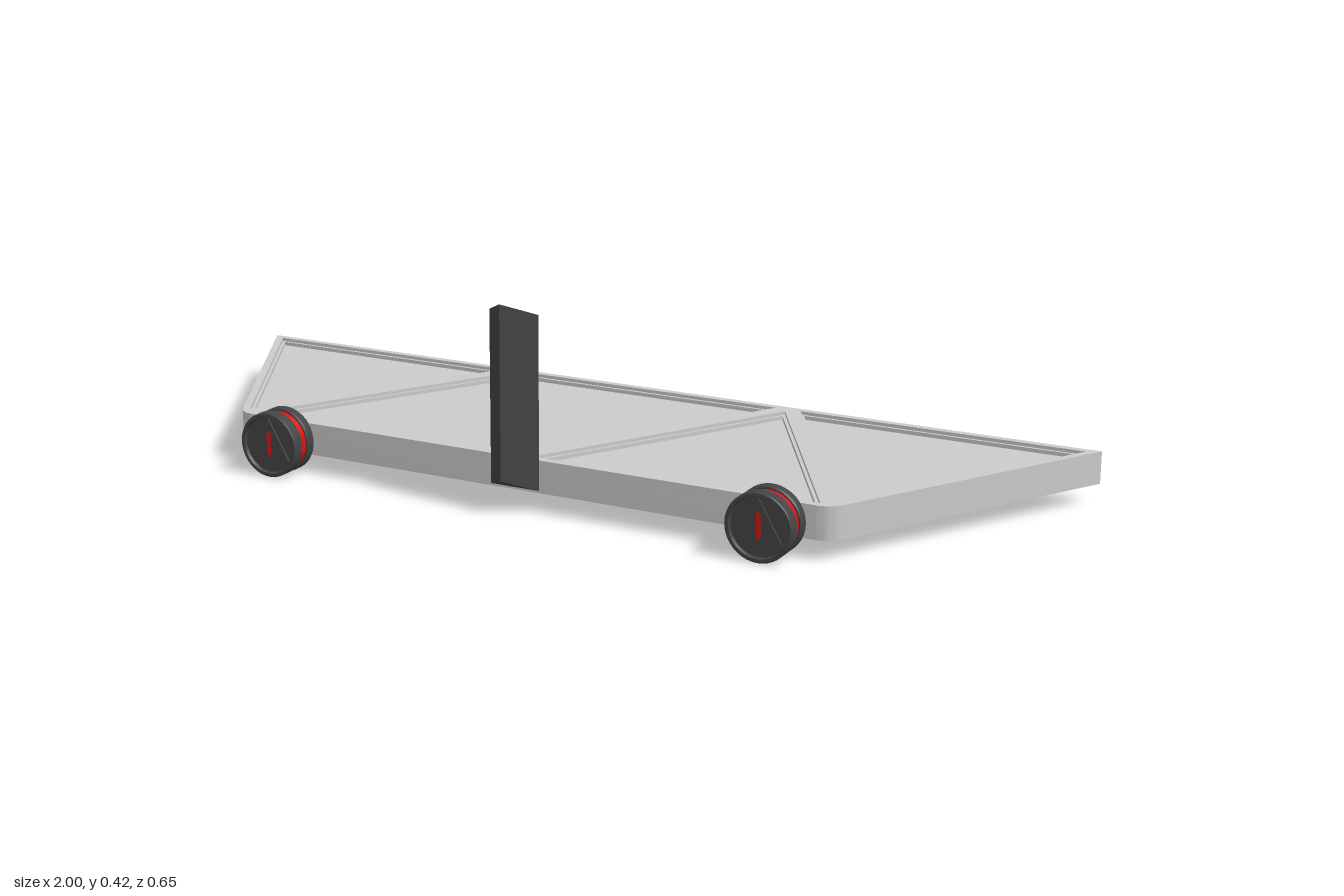
import * as THREE from 'three';
import { toCreasedNormals } from 'three/addons/utils/BufferGeometryUtils.js';

const grey = new THREE.MeshStandardMaterial({ color: 0xcccccc });
const dark = new THREE.MeshStandardMaterial({ color: 0x444444 });
const red = new THREE.MeshStandardMaterial({ color: 0xe01010 });

const BACK = -0.325, FRONT = 0.262, BOTTOM = 0.04, TOP = 0.107;

function add(parent, name, geometry, material) {
  const mesh = new THREE.Mesh(geometry, material);
  mesh.name = name;
  parent.add(mesh);
  return mesh;
}

// Plan outline of the deck: trapezoid with rounded front corners (shape y = -z)
function deckShape() {
  const s = new THREE.Shape();
  s.moveTo(-1, -BACK);
  s.lineTo(-0.683, -FRONT + 0.03);
  s.quadraticCurveTo(-0.666, -FRONT, -0.635, -FRONT);
  s.lineTo(0.635, -FRONT);
  s.quadraticCurveTo(0.666, -FRONT, 0.683, -FRONT + 0.03);
  s.lineTo(1, -BACK);
  s.closePath();
  return s;
}

// Five alternating triangles, each inset from its cell by d
function triangleHoles(d) {
  const holes = [];
  for (let i = 0; i < 5; i++) {
    const cx = (i - 2) / 3, pointsFront = i % 2 === 0;
    const base = pointsFront ? BACK : FRONT, tip = pointsFront ? FRONT : BACK;
    const cz = (2 * base + tip) / 3, k = 1 - d / 0.195;
    const pts = [[-1 / 3, base], [1 / 3, base], [0, tip]].map(
      ([x, z]) => new THREE.Vector2(cx + x * k, -(cz + (z - cz) * k)));
    holes.push(new THREE.Path(pts));
  }
  return holes;
}

// Horizontal layer of the deck from y0 to y1
function layer(y0, y1, inset) {
  const s = deckShape();
  if (inset) s.holes = triangleHoles(inset);
  const g = new THREE.ExtrudeGeometry(s, { depth: y1 - y0, bevelEnabled: false, curveSegments: 8 });
  g.rotateX(-Math.PI / 2);
  g.translate(0, y0, 0);
  return toCreasedNormals(g, 0.6);
}

// Ring-shaped solid along z from [radius, z] points
function turned(points) {
  const g = new THREE.LatheGeometry(points.map(([r, z]) => new THREE.Vector2(r, z)), 40);
  g.rotateX(Math.PI / 2);
  return toCreasedNormals(g, 0.6);
}

function createWheel() {
  const wheel = new THREE.Group();
  add(wheel, 'rearFlange', turned([
    [0, 0.25], [0.055, 0.25], [0.064, 0.256], [0.068, 0.262], [0.068, 0.278], [0.065, 0.281], [0, 0.281],
  ]), dark);
  add(wheel, 'redBand', turned([[0.062, 0.279], [0.062, 0.301]]), red);
  add(wheel, 'frontFlange', turned([
    [0, 0.299], [0.065, 0.299], [0.068, 0.302], [0.068, 0.325], [0.066, 0.327],
    [0.06, 0.327], [0.058, 0.32], [0, 0.32],
  ]), dark);
  // Raised triangular hub with a slot insert
  const hub = new THREE.CylinderGeometry(0.055, 0.055, 0.005, 3);
  hub.rotateX(Math.PI / 2).rotateZ(Math.PI);
  hub.translate(0, 0, 0.3215);
  add(wheel, 'hubTriangle', toCreasedNormals(hub, 0.5), dark);
  const slot = new THREE.BoxGeometry(0.009, 0.048, 0.004);
  slot.translate(0, 0.003, 0.323);
  add(wheel, 'hubSlot', slot, red);
  return wheel;
}

// Square post turned on its corner, with slanted ends
function postGeometry() {
  const g = new THREE.CylinderGeometry(0.0547, 0.0547, 1, 4).toNonIndexed();
  const p = g.attributes.position;
  for (let i = 0; i < p.count; i++) {
    const slope = 0.475 * p.getZ(i);
    p.setY(i, p.getY(i) > 0 ? 0.399 + slope : 0.045 + Math.max(0, slope));
  }
  g.translate(0, 0, 0.2635);
  g.computeVertexNormals();
  return g;
}

export function createModel() {
  const model = new THREE.Group();
  model.name = 'trussDeck';

  // Deck: solid slab, stepped ledge, and top frame around five sunken panels
  const deck = new THREE.Group();
  deck.name = 'deck';
  add(deck, 'slab', layer(BOTTOM, 0.092), grey);
  add(deck, 'ledge', layer(0.092, 0.1, 0.023), grey);
  add(deck, 'frame', layer(0.1, TOP, 0.0165), grey);
  model.add(deck);

  // Front wheels
  for (const side of [-1, 1]) {
    const wheel = createWheel();
    wheel.name = side > 0 ? 'leftWheel' : 'rightWheel';
    wheel.position.set(side * 0.55, 0.068, 0);
    model.add(wheel);
  }

  // Upright post at the middle of the front edge
  add(model, 'post', postGeometry(), dark);
  return model;
}
